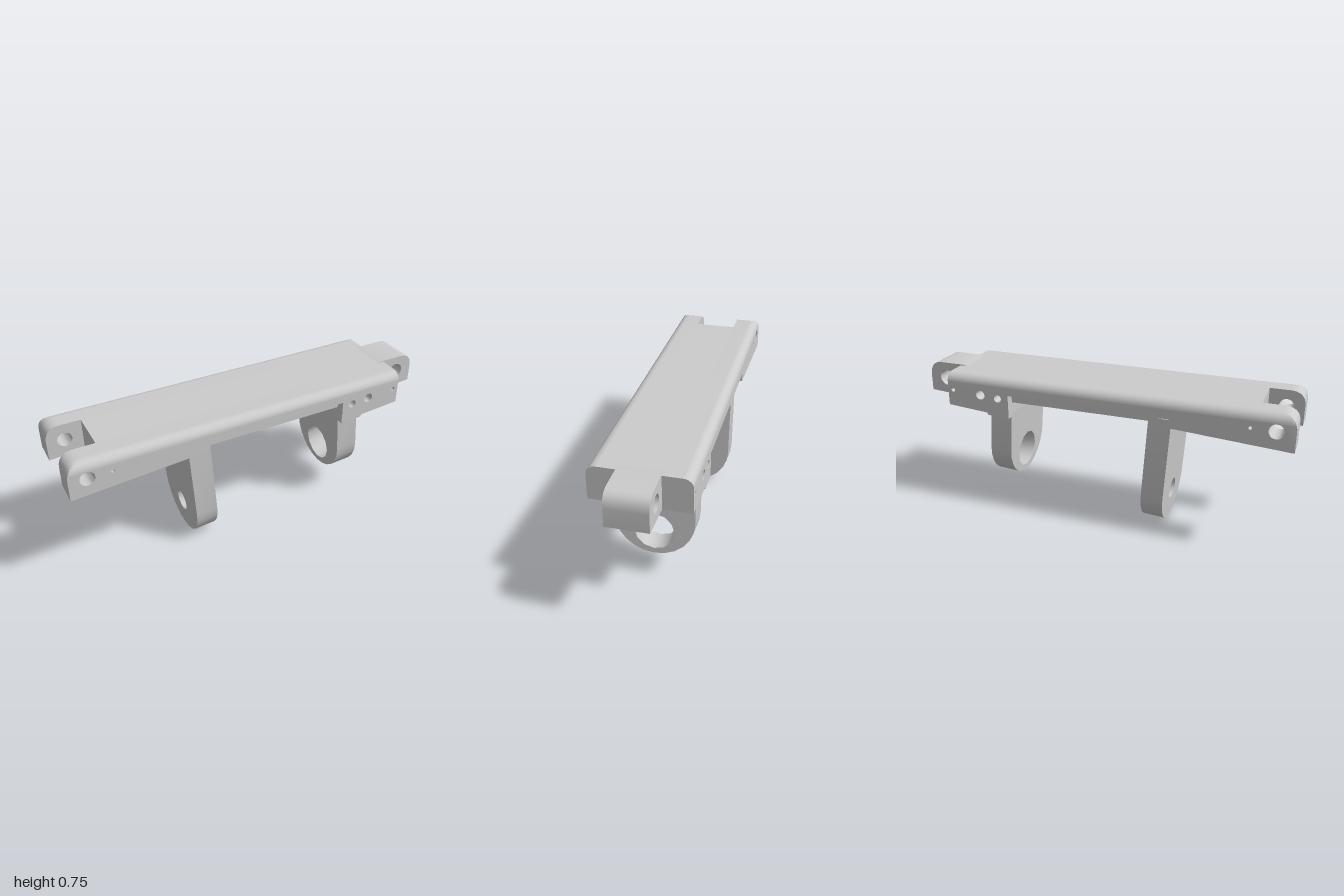
import * as THREE from 'three';
import { toCreasedNormals } from 'three/addons/utils/BufferGeometryUtils.js';

const TOP = 0.745, ROUND = 0.045, INNER = 0.195;

export function createModel() {
  const model = new THREE.Group();
  const material = new THREE.MeshStandardMaterial({ color: 0xcccccc });

  const add = (name, geometry) => {
    const mesh = new THREE.Mesh(toCreasedNormals(geometry, 0.6), material);
    mesh.name = name;
    model.add(mesh);
    return mesh;
  };
  const punch = (shape, holes) => {
    for (const [x, y, r] of holes) {
      shape.holes.push(new THREE.Path().absarc(x, y, r, 0, Math.PI * 2, true));
    }
    return shape;
  };
  const extrude = (shape, depth, steps = 1, curveSegments = 10) =>
    new THREE.ExtrudeGeometry(shape, { depth, steps, curveSegments, bevelEnabled: false });

  // Side profile of the bar; the underside points run from rear to front
  const barProfile = (startX, underside, holes) => {
    const s = new THREE.Shape();
    s.moveTo(0.81, TOP);
    if (startX === -1) {
      s.lineTo(-0.92, TOP);
      s.quadraticCurveTo(-1, TOP, -1, 0.67);
    } else s.lineTo(startX, TOP);
    underside.forEach(([x, y]) => s.lineTo(x, y));
    s.closePath();
    return punch(s, holes);
  };
  const rodHoles = [[0.52, 0.637, 0.021], [0.62, 0.645, 0.025]];
  const pinHole = [-0.91, 0.66, 0.037];
  const coreEnd = [[-0.4, 0.61], [0.46, 0.61], [0.46, 0.55], [0.58, 0.55], [0.81, 0.57]];

  // Centre of the bar, ending at the slot
  const centre = extrude(barProfile(-0.82, [[-0.82, 0.58], ...coreEnd], rodHoles), 0.22);
  add('barCentre', centre.translate(0, 0, -0.11));

  for (const side of [1, -1]) {
    const label = side > 0 ? 'left' : 'right';

    // Rails beside the slot
    const rail = extrude(barProfile(-1, [[-1, 0.565], ...coreEnd], [...rodHoles, pinHole]), INNER - 0.11);
    add(label + 'Rail', rail.translate(0, 0, side > 0 ? 0.11 : -INNER));

    // Outer cheeks with a raised lip and a rounded upper edge
    const cheek = extrude(barProfile(-1, [
      [-1, 0.565], [-0.4, 0.605], [-0.4, 0.65], [0.46, 0.66],
      [0.46, 0.533], [0.58, 0.54], [0.585, 0.552], [0.81, 0.57],
    ], [...rodHoles, pinHole, [-0.79, 0.662, 0.009], [0.78, 0.655, 0.011]]), ROUND, 6);
    const p = cheek.attributes.position;
    for (let i = 0; i < p.count; i++) {
      const t = side > 0 ? p.getZ(i) / ROUND : 1 - p.getZ(i) / ROUND;
      const a = Math.min(1, Math.max(0, t)) * Math.PI / 2;
      p.setY(i, Math.min(p.getY(i), TOP - ROUND + ROUND * Math.cos(a)));
      p.setZ(i, side * (INNER + ROUND * Math.sin(a)));
    }
    add(label + 'Cheek', cheek);
  }

  // Hinge tongue at the front end
  const tongue = new THREE.Shape();
  tongue.moveTo(0.75, 0.566);
  tongue.lineTo(1, 0.585);
  tongue.lineTo(1, 0.68);
  tongue.quadraticCurveTo(0.995, 0.75, 0.93, 0.75);
  tongue.lineTo(0.8, 0.75);
  tongue.lineTo(0.75, 0.74);
  tongue.closePath();
  add('hingeTongue', extrude(punch(tongue, [[0.9, 0.665, 0.043]]), 0.2).translate(0, 0, -0.1));

  // Leaning legs: flat plates with round lower ends and an eye
  const leg = (name, x, y, height, thickness, eyeY, eyeR) => {
    const s = new THREE.Shape();
    s.moveTo(0.2, height);
    s.lineTo(-0.2, height);
    s.lineTo(-0.2, 0.2);
    s.absarc(0, 0.2, 0.2, Math.PI, Math.PI * 2, false);
    s.closePath();
    const g = extrude(punch(s, [[0, eyeY, eyeR]]), thickness, 1, 6);
    g.translate(0, 0, -thickness / 2).rotateY(Math.PI / 2).rotateZ(0.07);
    add(name, g).position.set(x, y, 0);
  };
  leg('longLeg', -0.302, 0.004, 0.63, 0.116, 0.16, 0.056);
  leg('shortLeg', 0.552, 0.138, 0.46, 0.12, 0.128, 0.1);

  return model;
}
